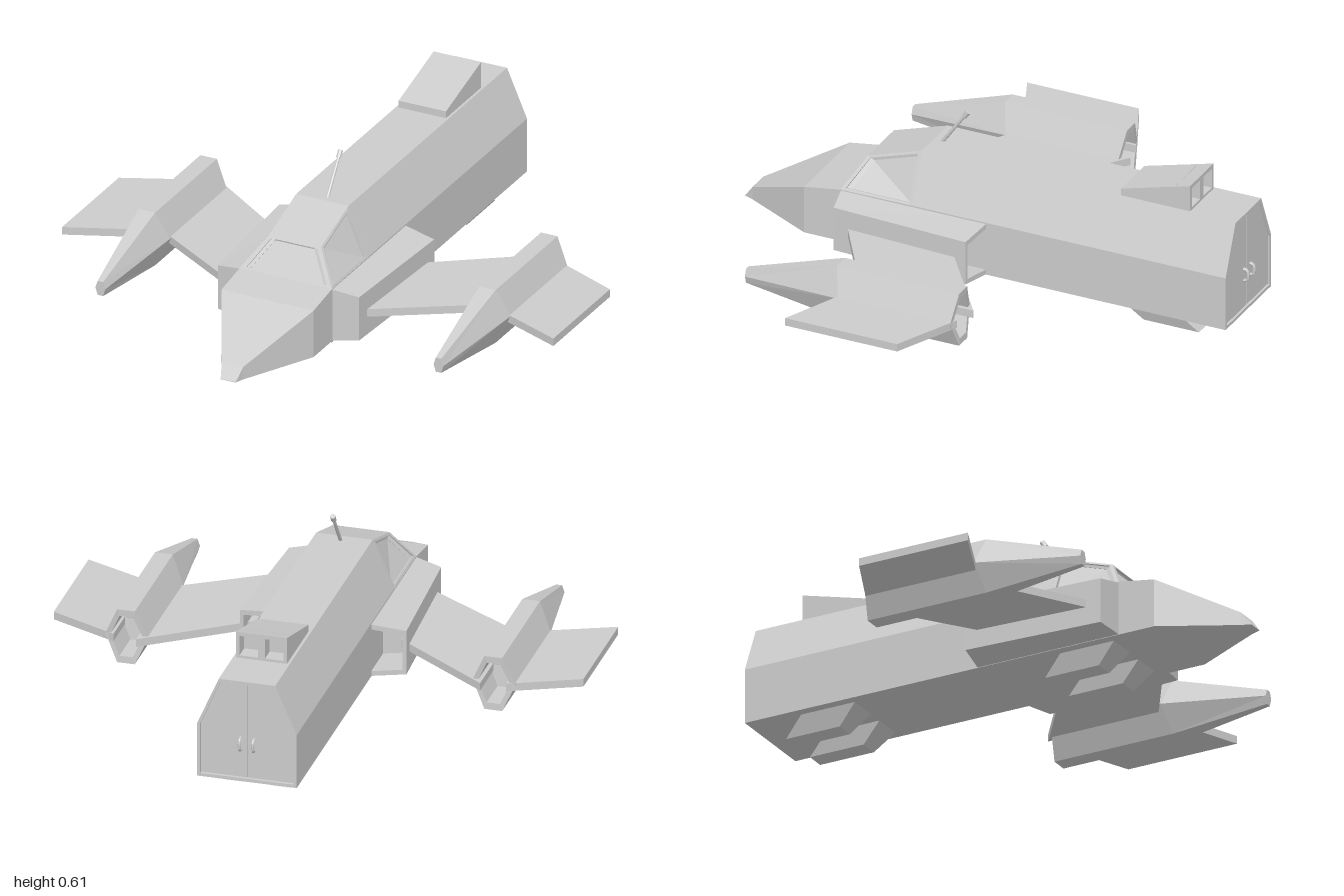
import * as THREE from 'three';

const material = new THREE.MeshStandardMaterial({ color: 0xcccccc, flatShading: true });

// Closed faceted solid skinned through rings of equal point count, capped at both ends.
function loft(rings) {
  const tris = [];
  const n = rings[0].length;
  for (let r = 0; r < rings.length - 1; r++) {
    const a = rings[r], b = rings[r + 1];
    for (let i = 0; i < n; i++) {
      const j = (i + 1) % n;
      tris.push([a[i], a[j], b[j]], [a[i], b[j], b[i]]);
    }
  }
  const first = rings[0], last = rings[rings.length - 1];
  for (let i = 1; i < n - 1; i++) {
    tris.push([first[0], first[i + 1], first[i]], [last[0], last[i], last[i + 1]]);
  }
  // Turn all faces outward, whichever way the rings were listed
  const volume = tris.reduce((v, [a, b, c]) => v
    + a[0] * (b[1] * c[2] - b[2] * c[1])
    + a[1] * (b[2] * c[0] - b[0] * c[2])
    + a[2] * (b[0] * c[1] - b[1] * c[0]), 0);
  if (volume < 0) tris.forEach(t => t.reverse());
  const geometry = new THREE.BufferGeometry();
  geometry.setAttribute('position', new THREE.Float32BufferAttribute(tris.flat(2), 3));
  geometry.computeVertexNormals();
  return geometry;
}

const atZ = (points, z) => points.map(([x, y]) => [x, y, z]);
const shift = (ring, d) => ring.map(p => p.map((v, k) => v + d[k]));
function inset(ring, f) {
  const c = [0, 1, 2].map(k => ring.reduce((s, p) => s + p[k], 0) / ring.length);
  return ring.map(p => p.map((v, k) => v + (c[k] - v) * f));
}
const rect = (x0, x1, y0, y1) => [[x0, y0], [x1, y0], [x1, y1], [x0, y1]];

// Plate with a raised border; `inward` points into the body.
function framedPanel(ring, inward, border) {
  const pane = inset(ring, border);
  return loft([shift(ring, inward.map(v => v * 0.03)), ring, pane, shift(pane, inward.map(v => v * 0.012))]);
}

export function createModel() {
  const model = new THREE.Group();
  model.name = 'shuttle';
  const add = (name, geometry, parent = model) => {
    const mesh = new THREE.Mesh(geometry, material);
    mesh.name = name;
    parent.add(mesh);
    return mesh;
  };

  // Cargo hull with a shallow recess at the rear for the doors
  const section = [[-0.185, 0.07], [0.185, 0.07], [0.185, 0.28], [0.105, 0.465], [-0.105, 0.465], [-0.185, 0.28]];
  const rear = atZ(section, -0.985);
  add('hull', loft([atZ(section, 0.26), rear, inset(rear, 0.06), shift(inset(rear, 0.06), [0, 0, 0.012])]));

  // Nose
  const nose = [[0.26, 0.185, 0.28], [0.545, 0.185, 0.278], [0.69, 0.185, 0.255], [0.965, 0.043, 0.12], [1, 0.03, 0.072]];
  add('nose', loft(nose.map(([z, w, top]) => atZ(rect(-w, w, 0.07, top), z))));

  // Cockpit: roof, windshield and side windows
  const cockpit = new THREE.Group();
  cockpit.name = 'cockpit';
  model.add(cockpit);
  const roof = [[-0.105, 0.465, 0.26], [0.105, 0.465, 0.26], [0.105, 0.395, 0.475], [-0.105, 0.395, 0.475]];
  add('cockpitRoof', loft([roof, shift(roof, [0, -0.02, -0.005])]), cockpit);
  const shield = [[-0.105, 0.395, 0.475], [0.105, 0.395, 0.475], [0.182, 0.278, 0.545], [-0.182, 0.278, 0.545]];
  add('windshield', framedPanel(shield, [0, -0.5, -0.86], 0.12), cockpit);

  for (const s of [1, -1]) {
    const side = s > 0 ? 'left' : 'right';
    const flank = new THREE.Group();
    flank.name = side + 'Flank';
    model.add(flank);

    const pane = [[0.185, 0.278, 0.26], [0.185, 0.278, 0.545], [0.105, 0.395, 0.475], [0.105, 0.465, 0.26]]
      .map(([x, y, z]) => [s * x, y, z]);
    add(side + 'Window', framedPanel(pane, [-0.9 * s, -0.4, 0], 0.12), cockpit);

    // Side engine box, open at the back
    const boxRing = (xOut, zIn, zOut) => [[0.17, 0.07, zIn], [xOut, 0.085, zOut], [xOut, 0.257, zOut], [0.17, 0.277, zIn]]
      .map(([x, y, z]) => [s * x, y, z]);
    const back = boxRing(0.31, -0.035, -0.012);
    const mouth = inset(back, 0.2);
    add('sideEngine', loft([boxRing(0.283, 0.547, 0.525), back, mouth, shift(mouth, [0, 0, 0.15])]), flank);

    // Wing panels either side of the pod
    const wing = outline => {
      const low = outline.map(([x, z]) => [s * x, 0.155, z]);
      return loft([low, shift(low, [0, 0.03, 0])]);
    };
    add('innerWing', wing([[0.27, 0.06], [0.64, -0.205], [0.64, 0.245], [0.27, 0.477]]), flank);
    add('outerWing', wing([[0.73, -0.184], [0.985, -0.07], [0.985, 0.375], [0.73, 0.267]]), flank);

    // Six-sided wing pod with tapered front and hollow exhaust
    const hex = [[0.08, 0.18], [0.033, 0.285], [-0.033, 0.285], [-0.08, 0.18], [-0.033, 0.075], [0.033, 0.075]];
    const podRing = (z, zSide = z) => hex.map(([x, y], i) => [s * (0.683 + x), y, i % 3 ? z : zSide]);
    const tip = [[0.02, 0.143], [0.011, 0.17], [-0.011, 0.17], [-0.02, 0.143], [-0.011, 0.114], [0.011, 0.114]]
      .map(([x, y]) => [s * (0.678 + x), y, 0.675]);
    const exhaust = podRing(-0.185, -0.172);
    const throat = inset(exhaust, 0.25);
    add('wingPod', loft([tip, podRing(0.3, 0.275), exhaust, throat, shift(throat, [0, 0, 0.14])]), flank);

    // Landing skids, raked backwards
    for (const [name, z] of [['frontSkid', 0.51], ['rearSkid', -0.55]]) {
      const skid = (x0, x1, y, front) => [[x0, y, front], [x1, y, front], [x1, y, front - 0.22], [x0, y, front - 0.22]]
        .map(([x, h, d]) => [s * x, h, d]);
      add(name, loft([skid(0.03, 0.15, 0.075, z), skid(0.05, 0.125, 0, z - 0.08)]), flank);
    }

    // Rear door and its handle
    const door = [[0.002, 0.085], [0.173, 0.085], [0.173, 0.277], [0.098, 0.452], [0.002, 0.452]]
      .map(([x, y]) => [s * x, y]);
    add(side + 'RearDoor', loft([atZ(door, -0.965), atZ(door, -0.979)]));
    const grip = new THREE.CatmullRomCurve3([
      [0.025, 0.193, -0.976], [0.025, 0.198, -0.993], [0.025, 0.235, -0.993], [0.025, 0.24, -0.976],
    ].map(([x, y, z]) => new THREE.Vector3(s * x, y, z)));
    add(side + 'DoorHandle', new THREE.TubeGeometry(grip, 10, 0.006, 6));

    // Half of the wedge-shaped roof vent, with one rear opening
    const ventBack = atZ(rect(0, 0.095 * s, 0.46, 0.567), -0.8);
    const opening = inset(ventBack, 0.28);
    add(side + 'RoofVent', loft([atZ(rect(0, 0.095 * s, 0.46, 0.492), -0.525), ventBack, opening, shift(opening, [0, 0, 0.06])]));
  }

  // Leaning antenna with a thicker tip
  const antenna = new THREE.Group();
  antenna.name = 'antenna';
  antenna.position.set(0.005, 0.46, 0.23);
  antenna.rotation.x = -0.62;
  model.add(antenna);
  add('antennaRod', new THREE.CylinderGeometry(0.006, 0.007, 0.16, 8), antenna).position.y = 0.08;
  add('antennaTip', new THREE.CylinderGeometry(0.01, 0.01, 0.028, 8), antenna).position.y = 0.165;

  return model;
}
